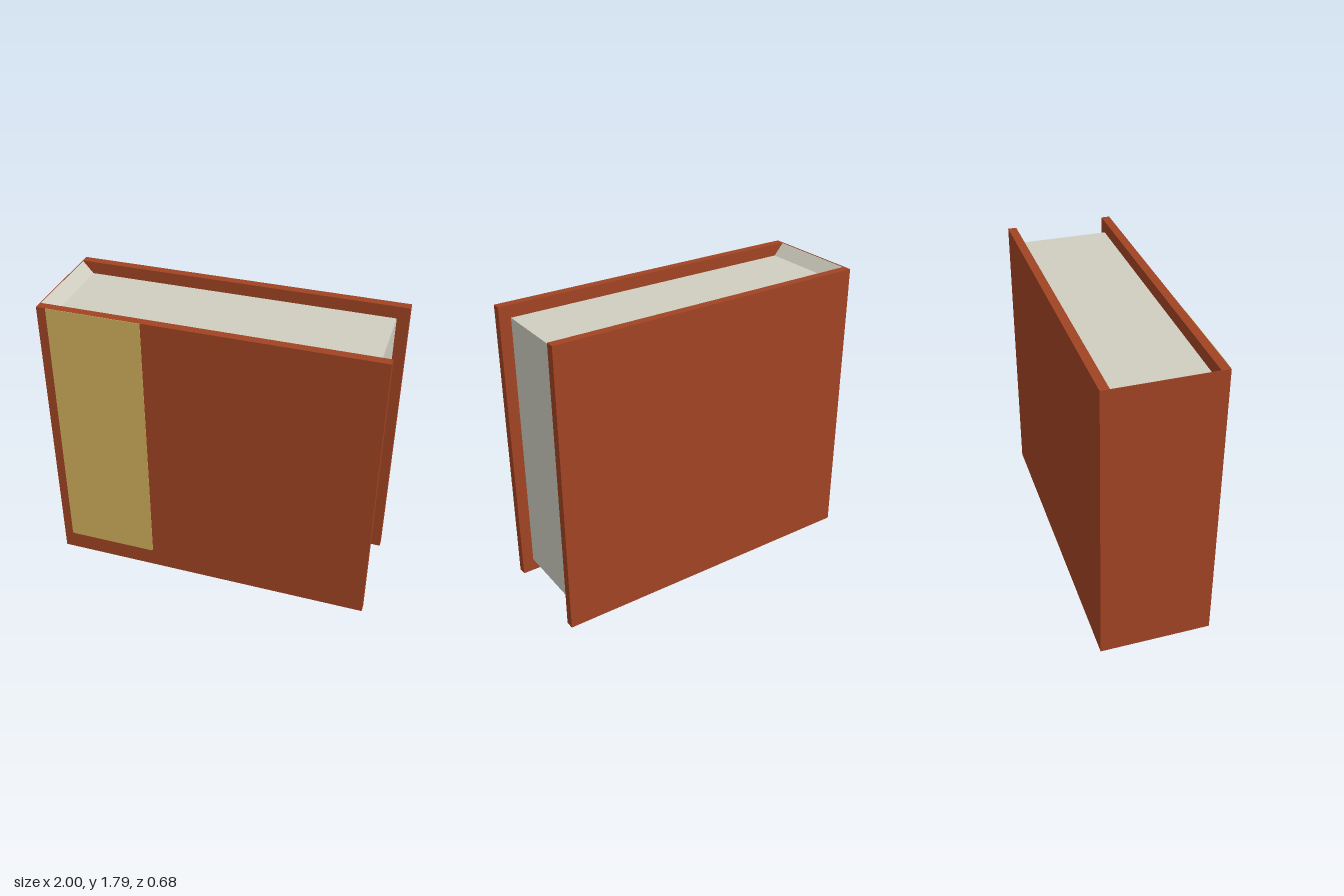
import * as THREE from 'three';

export function createModel() {
  const group = new THREE.Group();
  const cover = new THREE.MeshStandardMaterial({ color: 0xa04323 });
  cover.name = 'russet cover';
  const gold = new THREE.MeshStandardMaterial({ color: 0xcead5b });
  gold.name = 'gold label';
  const paper = new THREE.MeshStandardMaterial({ color: 0xd0cdc0 });
  paper.name = 'paper';

  const H = 1.79, inner = 0.285, outer = 0.337;

  function add(name, geometry, material, x, y, z) {
    const mesh = new THREE.Mesh(geometry, material);
    mesh.name = name;
    mesh.position.set(x, y, z);
    group.add(mesh);
  }

  // Front and back boards
  const board = new THREE.BoxGeometry(2, H, outer - inner);
  for (const [name, side] of [['frontCover', 1], ['backCover', -1]]) {
    add(name, board, cover, 0, H / 2, side * (inner + outer) / 2);
  }

  // Outer skin of the spine
  add('spine', new THREE.BoxGeometry(0.003, H, inner * 2), cover, -0.9985, H / 2, 0);

  // Page block, flaring into the spine with bevels at head and foot
  const profile = new THREE.Shape([
    [-0.997, 0.003], [-0.935, 0.08], [0.93, 0.08],
    [0.93, 1.715], [-0.935, 1.715], [-0.997, H - 0.003],
  ].map(([x, y]) => new THREE.Vector2(x, y)));
  add('pages', new THREE.ExtrudeGeometry(profile, { depth: inner * 2, bevelEnabled: false }),
    paper, 0, 0, -inner);

  // Label strip with softly rounded lower corners
  const l = -0.943, r = -0.377, b = 0.118, c = 0.012;
  const strip = new THREE.Shape();
  strip.moveTo(l, H);
  strip.lineTo(l, b + c);
  strip.quadraticCurveTo(l, b, l + c, b);
  strip.lineTo(r - c, b);
  strip.quadraticCurveTo(r, b, r, b + c);
  strip.lineTo(r, H);
  add('labelStrip', new THREE.ExtrudeGeometry(strip, { depth: 0.003, bevelEnabled: false, curveSegments: 4 }),
    gold, 0, 0, outer);

  return group;
}
